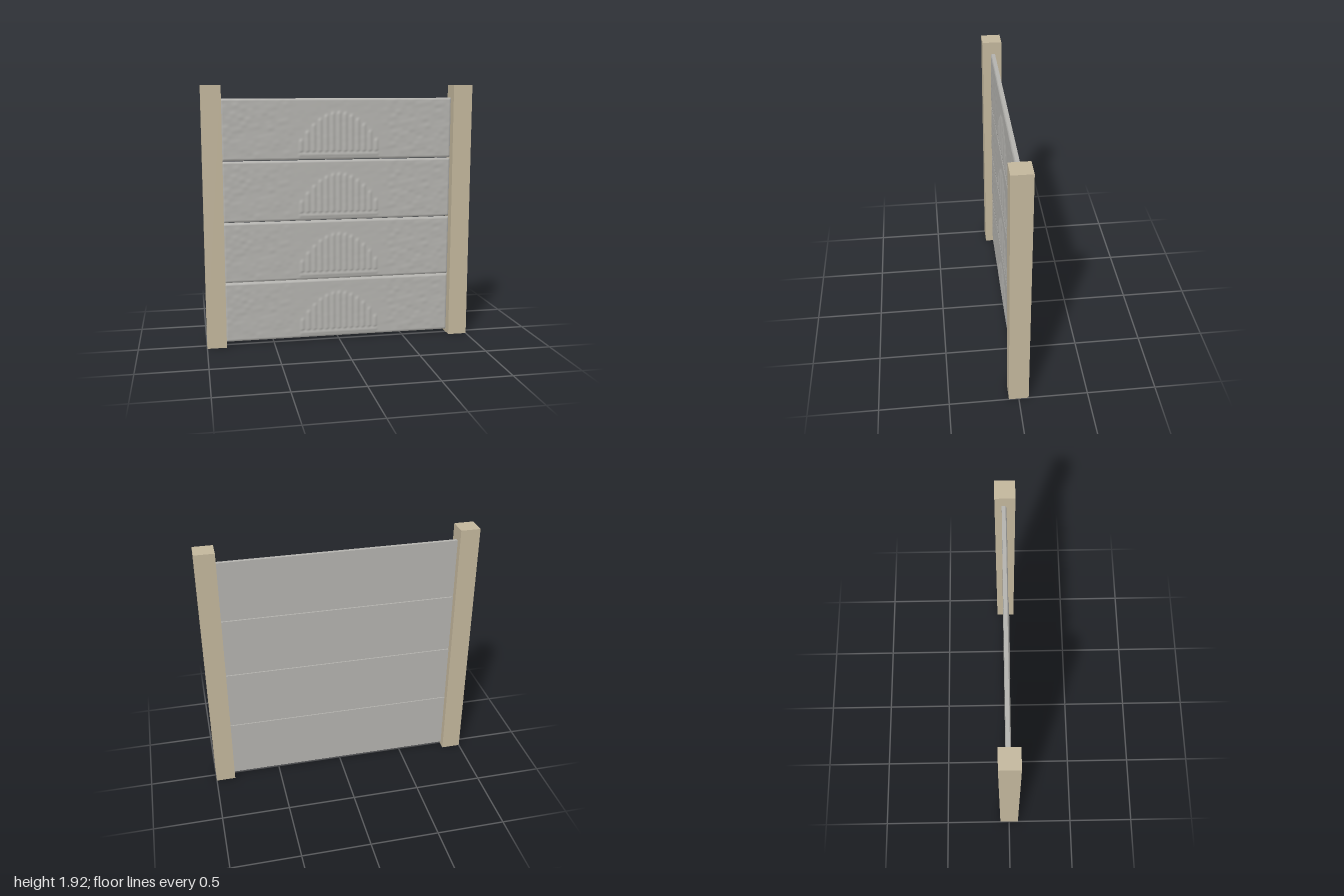
import * as THREE from 'three';

const PANEL_W = 1.714, PANEL_H = 0.446, PITCH = 0.452, BASE_Y = 0.024;
const BACK_Z = -0.022, EDGE_Z = 0.004, FACE_Z = 0.011;

// Repeatable smooth value noise for the rough stone texture
const hash = (i, j) => {
  const s = Math.sin(i * 127.1 + j * 311.7) * 43758.5453;
  return s - Math.floor(s);
};
function noise(x, y) {
  const i = Math.floor(x), j = Math.floor(y);
  const u = THREE.MathUtils.smoothstep(x - i, 0, 1);
  const v = THREE.MathUtils.smoothstep(y - j, 0, 1);
  return THREE.MathUtils.lerp(
    THREE.MathUtils.lerp(hash(i, j), hash(i + 1, j), u),
    THREE.MathUtils.lerp(hash(i, j + 1), hash(i + 1, j + 1), u), v);
}

// Height of the cast relief: rough stone plus an arched row of pickets on a rail
function relief(x, y) {
  const step = THREE.MathUtils.smoothstep;
  const stone = noise(x * 22 + y * 9, y * 34 - x * 6) - 0.5;
  const roughness = 0.0008 + 0.002 * step(Math.abs(x), 0.3, 0.42);
  let z = stone * roughness;

  const spacing = 0.047, index = Math.round(x / spacing);
  if (Math.abs(index) <= 6) {
    const offset = (x - index * spacing) / (spacing * 0.5);
    const top = 0.16 + 0.2 * (1 - (index / 6) ** 2);
    const length = step(y, 0.05, 0.065) * (1 - step(y, top - 0.03, top));
    z += 0.006 * Math.cos(offset * Math.PI / 2) ** 2 * length;
  }
  const rail = step(y, 0.018, 0.032) * (1 - step(y, 0.04, 0.054));
  z += 0.004 * rail * (1 - step(Math.abs(x), 0.285, 0.31));
  return z;
}

// Displaced front face whose rim falls back to meet the slab
function faceGeometry() {
  const geometry = new THREE.PlaneGeometry(PANEL_W, PANEL_H, 220, 50);
  const p = geometry.attributes.position;
  for (let i = 0; i < p.count; i++) {
    const x = p.getX(i), y = p.getY(i);
    const rim = Math.min(PANEL_W / 2 - Math.abs(x), PANEL_H / 2 - Math.abs(y)) < 0.001;
    p.setZ(i, rim ? EDGE_Z : FACE_Z + relief(x, y + PANEL_H / 2));
  }
  geometry.computeVertexNormals();
  return geometry;
}

export function createModel() {
  const concrete = new THREE.MeshStandardMaterial({ color: 0xb3b2ae });
  concrete.name = 'grey concrete';
  const sand = new THREE.MeshStandardMaterial({ color: 0xc2b69c });
  sand.name = 'sand concrete';

  const model = new THREE.Group();
  model.name = 'concreteFence';

  // Square posts
  const postGeometry = new THREE.BoxGeometry(0.143, 1.92, 0.143);
  for (const side of [-1, 1]) {
    const post = new THREE.Mesh(postGeometry, sand);
    post.name = side > 0 ? 'leftPost' : 'rightPost';
    post.position.set(side * 0.9285, 0.96, 0);
    model.add(post);
  }

  // Four stacked panels
  const slabGeometry = new THREE.BoxGeometry(PANEL_W, PANEL_H, EDGE_Z - BACK_Z);
  const reliefGeometry = faceGeometry();
  for (let i = 0; i < 4; i++) {
    const panel = new THREE.Group();
    panel.name = `panel${i + 1}`;
    panel.position.y = BASE_Y + PANEL_H / 2 + i * PITCH;
    const slab = new THREE.Mesh(slabGeometry, concrete);
    slab.name = 'slab';
    slab.position.z = (EDGE_Z + BACK_Z) / 2;
    const face = new THREE.Mesh(reliefGeometry, concrete);
    face.name = 'reliefFace';
    panel.add(slab, face);
    model.add(panel);
  }
  return model;
}
